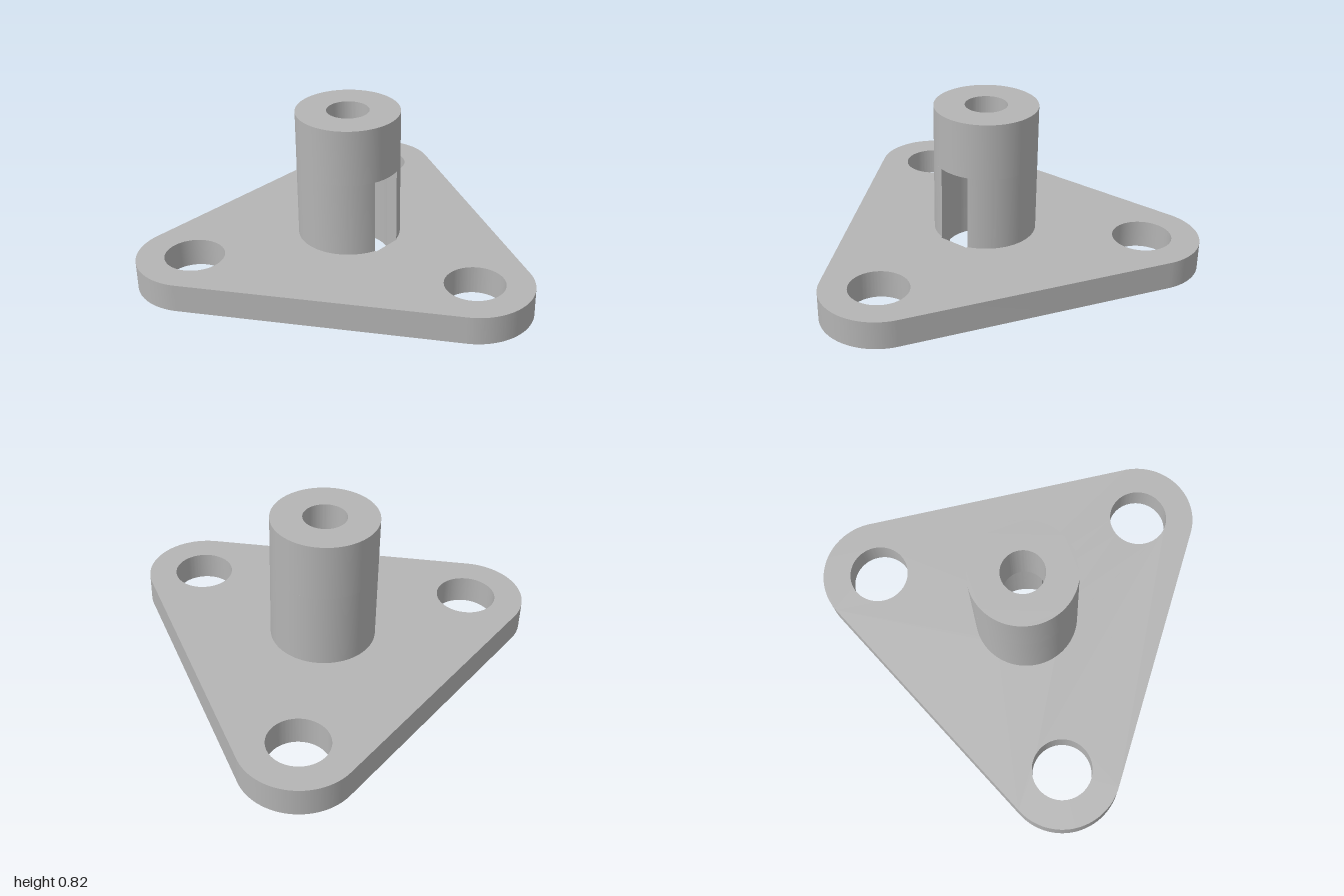
import * as THREE from 'three';
import { toCreasedNormals } from 'three/addons/utils/BufferGeometryUtils.js';

const PLATE_TOP = 0.146, SLOT_TOP = 0.534, TUBE_TOP = 0.824;
const AXIS_X = -0.204, TUBE_R = 0.264, BORE_R = 0.205, TOP_HOLE_R = 0.108;
const SLOT_HALF = 0.083, SLOT_END = 0.055;
const CORNER_X = 0.613, CORNER_Z = 0.707, CORNER_R = 0.293, BOLT_R = 0.151;

export function createModel() {
  const group = new THREE.Group();
  const grey = new THREE.MeshStandardMaterial({ color: 0xb4b4b4 });
  grey.name = 'grey';

  // Extrude a plan outline upwards from y0 to y1
  function addSolid(name, shape, y0, y1) {
    const geometry = new THREE.ExtrudeGeometry(shape, { depth: y1 - y0, bevelEnabled: false, curveSegments: 64 });
    geometry.rotateX(-Math.PI / 2);
    geometry.translate(0, y0, 0);
    const mesh = new THREE.Mesh(toCreasedNormals(geometry, 0.4), grey);
    mesh.name = name;
    group.add(mesh);
  }
  const circle = (Type, x, y, r) => new Type().absarc(x, y, r, 0, Math.PI * 2, false);

  // Triangular base with rounded corners and a bolt hole in each
  const plate = new THREE.Shape();
  const corners = [[CORNER_X, 0], [-CORNER_X, CORNER_Z], [-CORNER_X, -CORNER_Z]];
  corners.forEach(([x, y], i) => {
    const start = (i * 2 - 1) * Math.PI / 3;
    plate.absarc(x, y, CORNER_R, start, start + Math.PI * 2 / 3, false);
    plate.holes.push(circle(THREE.Path, x, y, BOLT_R));
  });
  plate.closePath();

  // Bore with keyway, cut through the base
  const boreAngle = Math.asin(SLOT_HALF / BORE_R);
  const keyhole = new THREE.Path();
  keyhole.absarc(AXIS_X, 0, BORE_R, boreAngle, Math.PI * 2 - boreAngle, false);
  keyhole.lineTo(SLOT_END, -SLOT_HALF);
  keyhole.lineTo(SLOT_END, SLOT_HALF);
  keyhole.closePath();
  plate.holes.push(keyhole);
  addSolid('basePlate', plate, 0, PLATE_TOP);

  // Lower tube, split by the slot on its left side
  const tubeAngle = Math.asin(SLOT_HALF / TUBE_R);
  const slotted = new THREE.Shape();
  slotted.absarc(AXIS_X, 0, TUBE_R, tubeAngle, Math.PI * 2 - tubeAngle, false);
  slotted.absarc(AXIS_X, 0, BORE_R, Math.PI * 2 - boreAngle, boreAngle, true);
  slotted.closePath();
  addSolid('slottedTube', slotted, PLATE_TOP, SLOT_TOP);

  // Thick-walled top with the narrow hole
  const cap = circle(THREE.Shape, AXIS_X, 0, TUBE_R);
  cap.holes.push(circle(THREE.Path, AXIS_X, 0, TOP_HOLE_R));
  addSolid('tubeTop', cap, SLOT_TOP, TUBE_TOP);

  return group;
}
